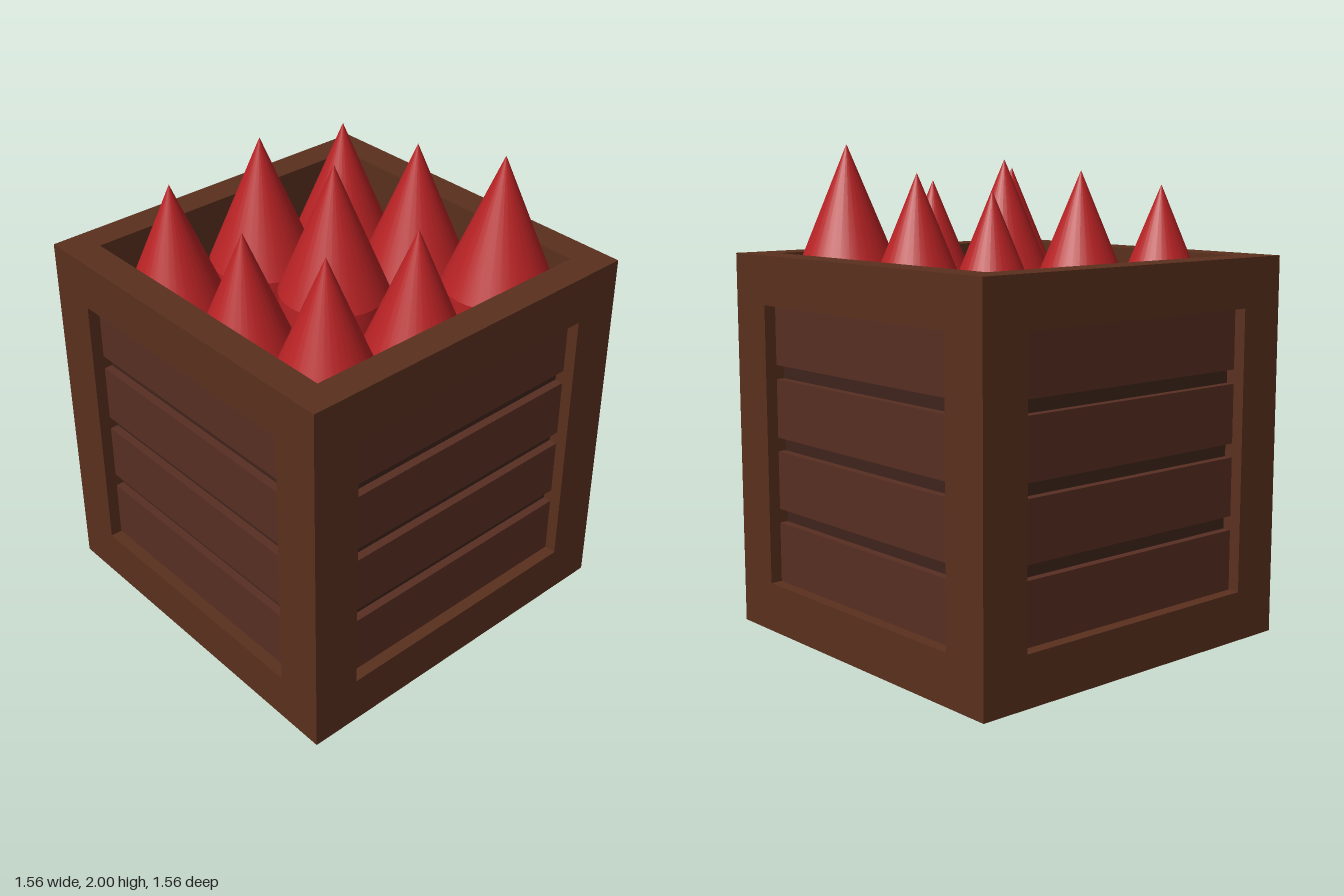
import * as THREE from 'three';

const HALF = 0.78, HEIGHT = 1.56, INNER = 0.65, FLOOR = 1.25;
const WIN = 0.575, WIN_LOW = 0.205, WIN_HIGH = 1.36;

const frameMat = new THREE.MeshStandardMaterial({ color: 0x5a301e });
const plankMat = new THREE.MeshStandardMaterial({ color: 0x582e22 });
const grooveMat = new THREE.MeshStandardMaterial({ color: 0x3e241b });
const spikeMat = new THREE.MeshStandardMaterial({ color: 0xb82224 });

function mesh(name, geometry, material, x = 0, y = 0, z = 0) {
  const m = new THREE.Mesh(geometry, material);
  m.name = name;
  m.position.set(x, y, z);
  return m;
}

// One wall facing +z: framed window, recessed planks, dark gaps, inner lining
function createWall(name, halfWidth) {
  const wall = new THREE.Group();
  wall.name = name;

  const outline = new THREE.Shape([
    new THREE.Vector2(-halfWidth, 0), new THREE.Vector2(halfWidth, 0),
    new THREE.Vector2(halfWidth, HEIGHT), new THREE.Vector2(-halfWidth, HEIGHT),
  ]);
  outline.holes.push(new THREE.Path([
    new THREE.Vector2(-WIN, WIN_LOW), new THREE.Vector2(-WIN, WIN_HIGH),
    new THREE.Vector2(WIN, WIN_HIGH), new THREE.Vector2(WIN, WIN_LOW),
  ]));
  const frame = new THREE.ExtrudeGeometry(outline, { depth: 0.09, bevelEnabled: false });
  wall.add(mesh('frame', frame, frameMat, 0, 0, HALF - 0.09));

  const lining = new THREE.BoxGeometry(halfWidth * 2, HEIGHT, 0.04);
  wall.add(mesh('lining', lining, frameMat, 0, HEIGHT / 2, HALF - 0.11));

  const midY = (WIN_LOW + WIN_HIGH) / 2;
  const backing = new THREE.BoxGeometry(WIN * 2, WIN_HIGH - WIN_LOW, 0.005);
  wall.add(mesh('plankBacking', backing, grooveMat, 0, midY, HALF - 0.0875));

  for (const [low, high] of [[WIN_LOW, 0.455], [0.513, 0.755], [0.812, 1.055], [1.113, WIN_HIGH]]) {
    const plank = new THREE.BoxGeometry(WIN * 2, high - low, 0.035);
    wall.add(mesh('plank', plank, plankMat, 0, (low + high) / 2, HALF - 0.0675));
  }
  return wall;
}

export function createModel() {
  const model = new THREE.Group();
  model.name = 'spikeCrate';

  // Front and back walls span the full width, side walls fit between them
  ['frontWall', 'leftWall', 'backWall', 'rightWall'].forEach((name, i) => {
    const wall = createWall(name, i % 2 ? INNER : HALF);
    wall.rotation.y = i * Math.PI / 2;
    model.add(wall);
  });

  // Raised crate floor
  const floor = new THREE.BoxGeometry(INNER * 2, FLOOR, INNER * 2);
  model.add(mesh('floor', floor, frameMat, 0, FLOOR / 2, 0));

  // Three by three red spikes, tip heights listed from back to front
  const tips = [[1.83, 1.89, 2.0], [1.9, 1.94, 1.85], [1.84, 1.81, 1.9]];
  const xs = [-0.435, 0.008, 0.47], zs = [-0.44, 0.005, 0.453];
  const radius = 0.223, coneHeight = 0.54;
  const cone = new THREE.ConeGeometry(radius, coneHeight, 32);
  tips.forEach((row, r) => row.forEach((tip, c) => {
    const spike = new THREE.Group();
    spike.name = 'spike';
    spike.position.set(xs[c], 0, zs[r]);
    const base = tip - coneHeight;
    const stem = new THREE.CylinderGeometry(radius, radius, base - FLOOR, 32, 1, true);
    spike.add(mesh('tip', cone, spikeMat, 0, base + coneHeight / 2, 0));
    spike.add(mesh('stem', stem, spikeMat, 0, (base + FLOOR) / 2, 0));
    model.add(spike);
  }));

  return model;
}
